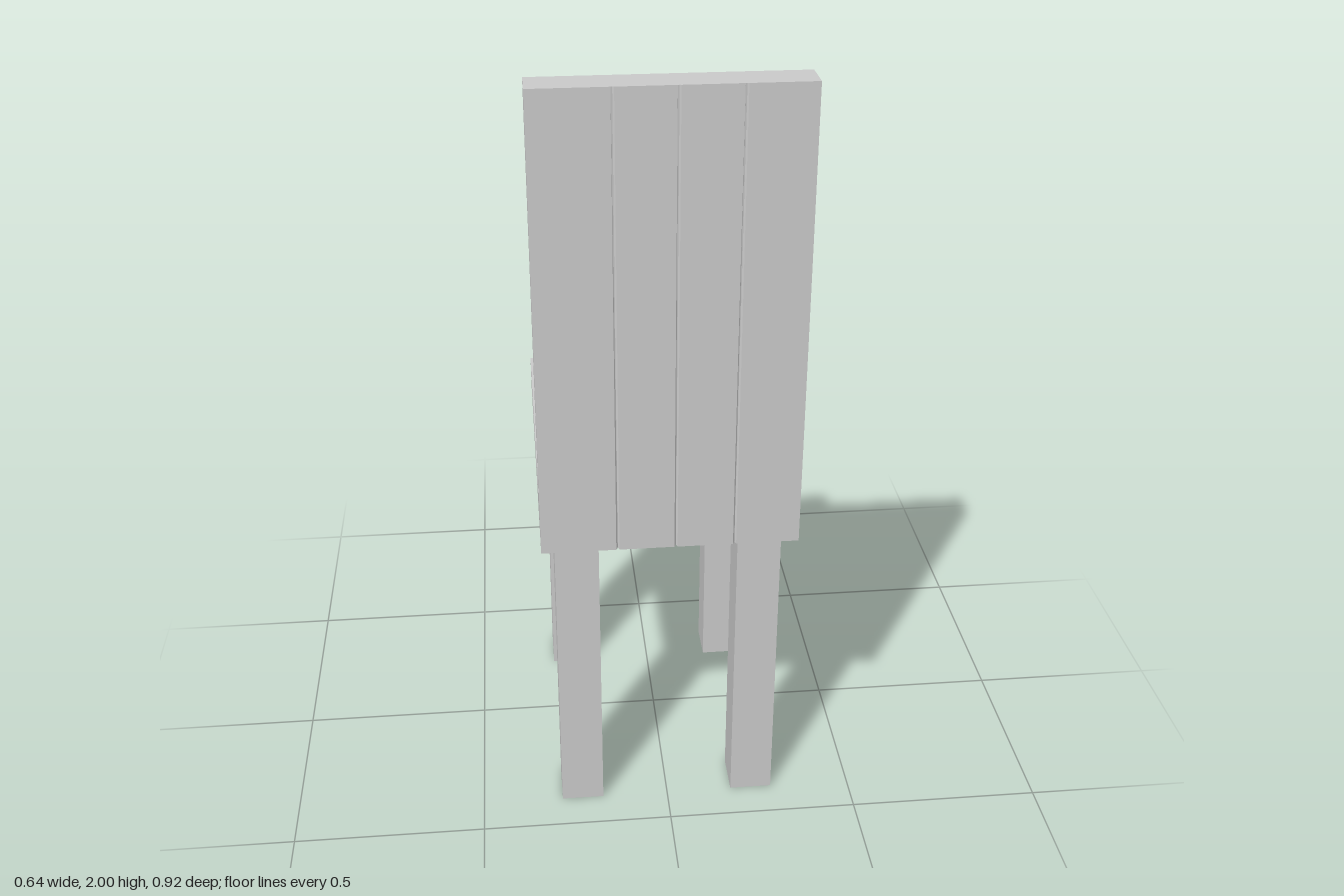
import * as THREE from 'three';

const material = new THREE.MeshStandardMaterial({ color: 0xcccccc, flatShading: true });

// L-shaped side outline as [y, z, groove inset y, groove inset z]; grooves fade out towards the top
const OUTLINE = [
  [0.835, -0.458, 1, 1],
  [0.925, -0.458, -1, 1],
  [0.925, 0.367, -1, 1],
  [2, 0.367, 0, 0.25],
  [2, 0.458, 0, -0.25],
  [0.835, 0.458, 1, -1],
];

// Loft the outline across x, pinching it slightly at every plank seam
function plankBody(halfWidth, seams, grooveHalf, depth) {
  const sections = [[-halfWidth, 0]];
  for (const s of seams) sections.push([s - grooveHalf, 0], [s, depth], [s + grooveHalf, 0]);
  sections.push([halfWidth, 0]);

  const n = OUTLINE.length;
  const positions = [];
  const index = [];
  for (const [x, d] of sections) {
    for (const [y, z, iy, iz] of OUTLINE) positions.push(x, y + iy * d, z + iz * d);
  }
  for (let i = 0; i < sections.length - 1; i++) {
    for (let j = 0; j < n; j++) {
      const k = (j + 1) % n;
      const a = i * n + j, b = i * n + k, c = b + n, e = a + n;
      index.push(a, b, c, a, c, e);
    }
  }
  // End caps fan out from the inner corner of the L
  const last = (sections.length - 1) * n;
  for (let t = 3; t < n + 1; t++) {
    const p = t % n, q = (t + 1) % n;
    index.push(last + 2, last + p, last + q, 2, q, p);
  }
  index.push(last + 2, last, last + 1, 2, 1, 0);

  const indexed = new THREE.BufferGeometry();
  indexed.setAttribute('position', new THREE.Float32BufferAttribute(positions, 3));
  indexed.setIndex(index);
  const geometry = indexed.toNonIndexed();
  geometry.computeVertexNormals();
  return geometry;
}

export function createModel() {
  const chair = new THREE.Group();
  chair.name = 'chair';

  // Planked seat and backrest
  const body = new THREE.Mesh(plankBody(0.32, [-0.131, 0.013, 0.159], 0.004, 0.004), material);
  body.name = 'seatAndBackrest';
  chair.add(body);

  // Four square legs
  const legGeometry = new THREE.BoxGeometry(0.111, 0.835, 0.111);
  for (const [end, z] of [['backrest', 0.346], ['seat', -0.274]]) {
    for (const [side, x] of [['Left', 0.231], ['Right', -0.231]]) {
      const leg = new THREE.Mesh(legGeometry, material);
      leg.name = `${end}End${side}Leg`;
      leg.position.set(x, 0.4175, z);
      chair.add(leg);
    }
  }
  return chair;
}
